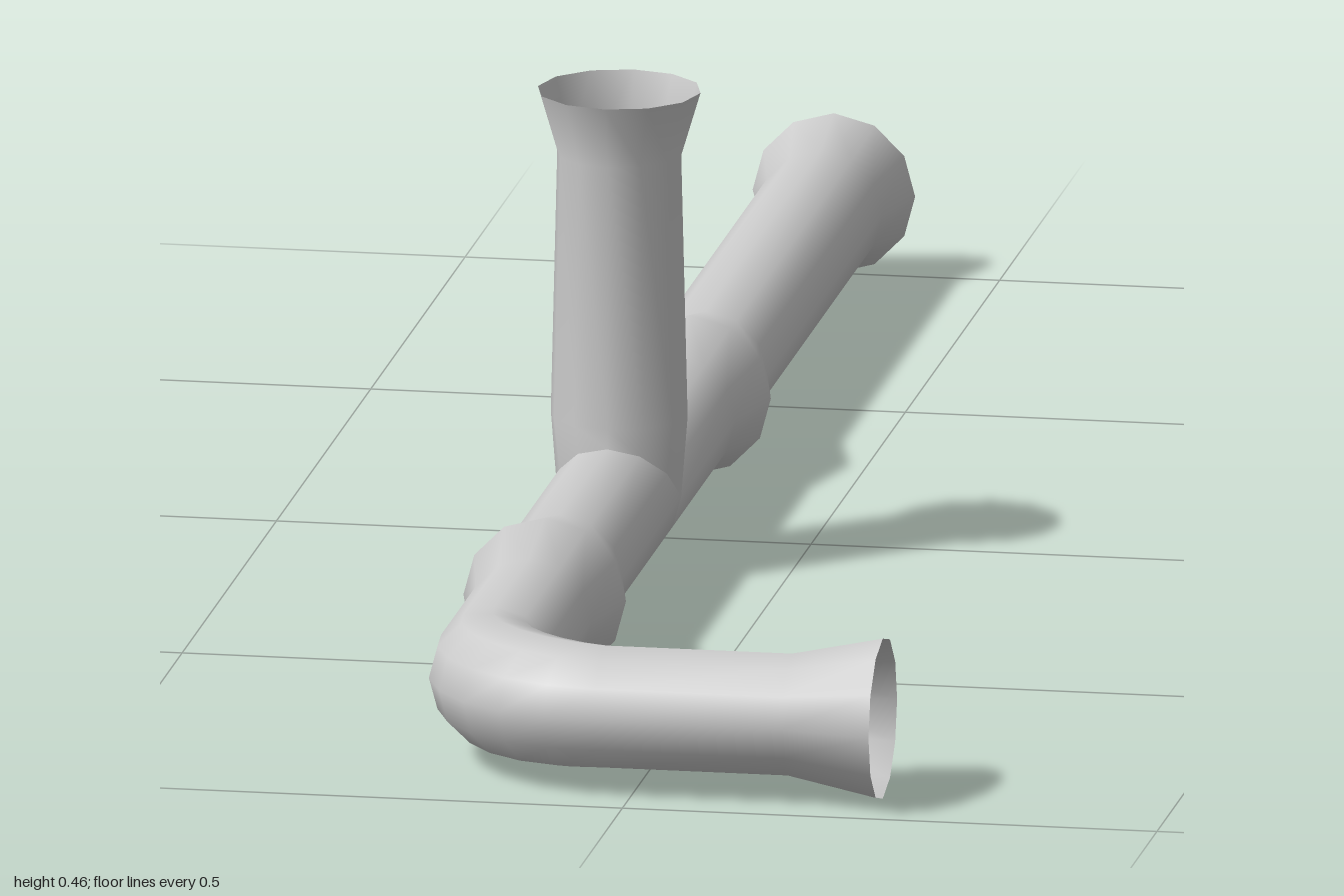
import * as THREE from 'three';

const SIDES = 12;
const R = 0.058, FLARE = 0.076;      // pipe and socket radius
const X = -0.155, Y = 0.079;         // axis of the main run
const TEE_Z = 0.138, STRETCH = 1.1;  // branch position, saddle length factor
const angle = (j) => (j / SIDES) * Math.PI * 2;

// Skin a list of closed rings into an open smooth tube.
function loft(name, rings) {
  const pos = [], index = [];
  for (const ring of rings) for (const p of ring) pos.push(p.x, p.y, p.z);
  for (let i = 0; i < rings.length - 1; i++) {
    for (let j = 0; j < SIDES; j++) {
      const k = (j + 1) % SIDES;
      const a = i * SIDES + j, b = i * SIDES + k;
      index.push(a, b, a + SIDES, b, b + SIDES, a + SIDES);
    }
  }
  const geo = new THREE.BufferGeometry();
  geo.setAttribute('position', new THREE.Float32BufferAttribute(pos, 3));
  geo.setIndex(index);
  geo.computeVertexNormals();
  const mesh = new THREE.Mesh(geo, new THREE.MeshStandardMaterial({ color: 0xcccccc, side: THREE.DoubleSide }));
  mesh.name = name;
  return mesh;
}

// Ring around a horizontal axis; turn 0 faces +z, PI/2 faces +x.
function ring(x, z, r, turn = 0) {
  return Array.from({ length: SIDES }, (_, j) => {
    const s = r * Math.cos(angle(j));
    return new THREE.Vector3(x + s * Math.cos(turn), Y + r * Math.sin(angle(j)), z - s * Math.sin(turn));
  });
}

// Ring on the main run whose upper half is cut back around the branch opening.
function notchedRing(dir) {
  const pts = ring(X, TEE_Z, R);
  for (const p of pts) p.z += dir * STRETCH * Math.max(0, p.y - Y);
  return pts;
}

// Horizontal ring of the upright branch.
function branchRing(y, rx, rz = rx) {
  return Array.from({ length: SIDES }, (_, j) =>
    new THREE.Vector3(X + rx * Math.cos(angle(j)), y, TEE_Z - rz * Math.sin(angle(j))));
}

export function createModel() {
  const group = new THREE.Group();
  group.name = 'pipeAssembly';
  const run = ([z, r]) => ring(X, z, r);

  // Rear run: socket at the back end, one collar, notch at the tee
  group.add(loft('rearPipe', [
    ...[[-1, FLARE], [-0.93, R], [-0.32, R], [-0.235, FLARE], [-0.15, R]].map(run),
    notchedRing(-1),
  ]));

  // Front run: notch at the tee, collar, elbow, socket at the side end
  const bend = 0.125, cx = X + bend, cz = 0.798, steps = 6;
  const elbow = [];
  for (let i = 0; i <= steps; i++) {
    const a = (i / steps) * Math.PI / 2;
    const r = R + 0.003 * Math.sin(a * 2);
    elbow.push(ring(cx - bend * Math.cos(a), cz + bend * Math.sin(a), r, a));
  }
  group.add(loft('frontPipeWithElbow', [
    notchedRing(1),
    ...[[0.45, R], [0.533, FLARE], [0.615, R]].map(run),
    ...elbow,
    ring(0.145, cz + bend, R, Math.PI / 2),
    ring(0.23, cz + bend, FLARE, Math.PI / 2),
  ]));

  // Upright branch: saddle-shaped foot on the main run, slight taper, socket on top
  const saddle = branchRing(Y, R);
  for (const p of saddle) {
    const dz = p.z - TEE_Z;
    p.y = Y + Math.abs(dz);
    p.z = TEE_Z + dz * STRETCH;
  }
  group.add(loft('branchPipe', [
    saddle,
    branchRing(0.155, 0.064, 0.062),
    branchRing(0.403, R),
    branchRing(0.463, FLARE),
  ]));

  return group;
}
